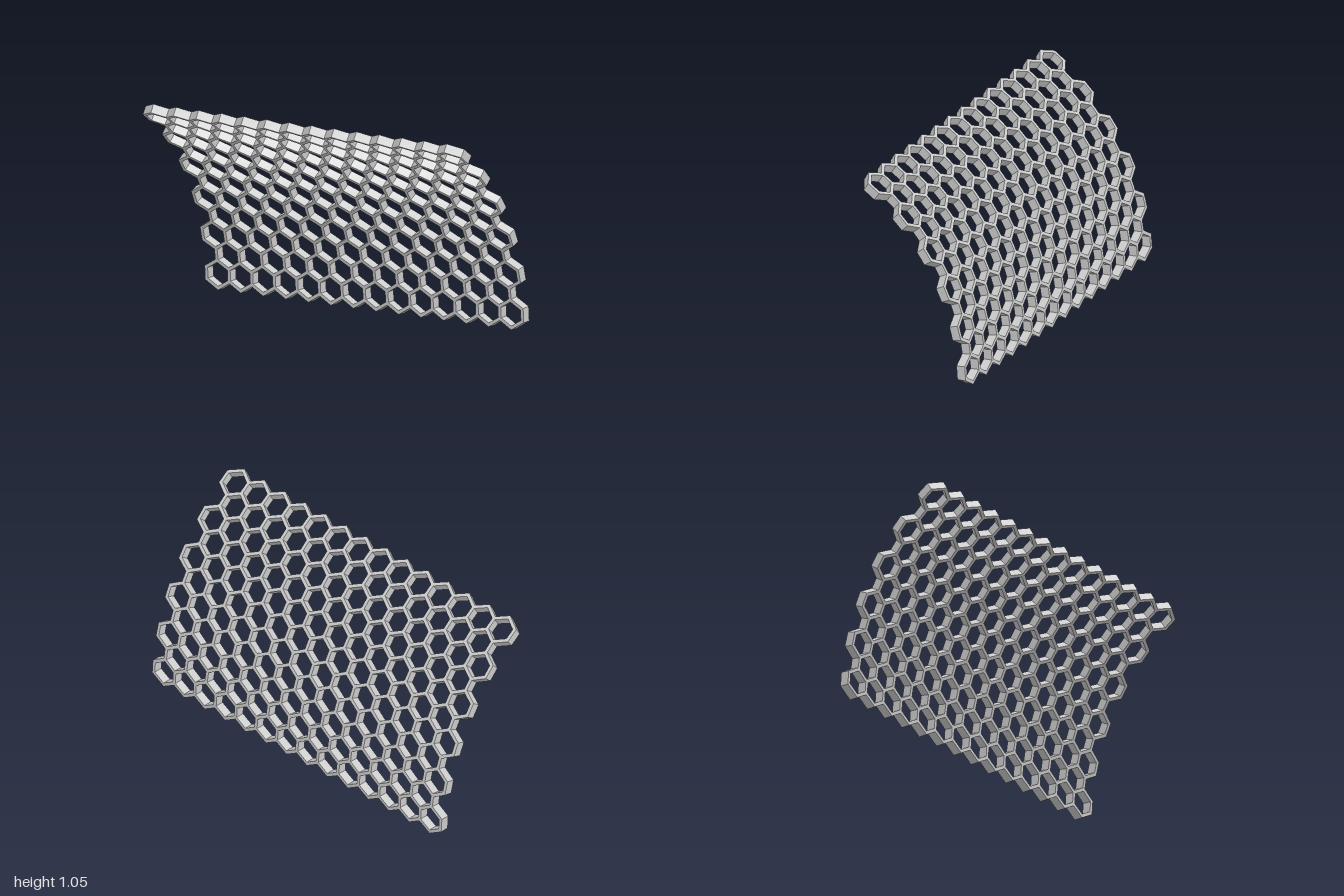
import * as THREE from 'three';

const ROWS = 11, COLS = 14;
const WALL = 0.009;                      // half the strut thickness
const W = (1 - WALL) / COLS;             // half cell width
const SIDE = 0.0655 / 2;                 // half length of the straight edge
const TIP = SIDE + 0.042;                // half cell height
const PITCH = SIDE + TIP;
const R_OUT = 1.21, R_IN = 1.162, ARC = Math.PI / 3;

// Corners of a cell, counter-clockwise, with its sides moved out by d
function hexagon(d) {
  const slope = Math.atan2(TIP - SIDE, W);
  const tip = TIP + d / Math.cos(slope);
  const side = SIDE + d * (1 / Math.cos(slope) - Math.tan(slope));
  const w = W + d;
  return [[0, tip], [-w, side], [-w, -side], [0, -tip], [w, -side], [w, side]];
}

const MIDDLE = hexagon(0), HOLE = hexagon(-WALL), RIM = hexagon(WALL);
const HEIGHT = (ROWS - 1) * PITCH + 2 * RIM[0][1];
const CENTRE_X = -(R_OUT + R_IN * Math.cos(ARC)) / 2;

// Wraps a flat panel point onto the arc
function bend([u, v], radius) {
  const angle = (v / HEIGHT) * ARC;
  return [CENTRE_X + radius * Math.cos(angle), radius * Math.sin(angle), -u];
}

const add = (a, b) => [a[0] + b[0], a[1] + b[1]];

function addQuad(out, a, b, c, d) {
  out.push(...a, ...b, ...c, ...a, ...c, ...d);
}

// Half a strut: from its middle line a-b to its exposed wall d-c
function addHalfStrut(out, a, b, c, d) {
  const [ao, bo, co, dO] = [a, b, c, d].map((p) => bend(p, R_OUT));
  const [ai, bi, ci, di] = [a, b, c, d].map((p) => bend(p, R_IN));
  addQuad(out, ao, bo, co, dO);
  addQuad(out, di, ci, bi, ai);
  addQuad(out, dO, co, ci, di);
}

// Odd rows are one cell shorter and shifted by half a cell
const cellsIn = (row) => COLS - (row % 2);
const cellCentre = (row, col) => [(2 * col - cellsIn(row) + 1) * W, RIM[0][1] + row * PITCH];

function hasNeighbour(row, col, edge) {
  const rowStep = [1, 0, -1, -1, 0, 1][edge];
  const r = row + rowStep;
  if (r < 0 || r >= ROWS) return false;
  const toLeft = edge < 3;
  let c;
  if (rowStep === 0) c = col + (toLeft ? -1 : 1);
  else if (row % 2) c = col + (toLeft ? 0 : 1);
  else c = col + (toLeft ? -1 : 0);
  return c >= 0 && c < cellsIn(r);
}

function addCell(out, row, col) {
  const centre = cellCentre(row, col);
  const open = MIDDLE.map((_, k) => !hasNeighbour(row, col, k));
  for (let k = 0; k < 6; k++) {
    const n = (k + 1) % 6;
    const a = add(centre, MIDDLE[k]), b = add(centre, MIDDLE[n]);
    addHalfStrut(out, a, b, add(centre, HOLE[n]), add(centre, HOLE[k]));
    if (!open[k]) continue;
    // Outer half of a border strut, mitred to the next border strut
    const beyond = add(centre, add(MIDDLE[k], MIDDLE[n]));
    const start = open[(k + 5) % 6] ? add(centre, RIM[k]) : add(beyond, HOLE[(k + 4) % 6]);
    const end = open[n] ? add(centre, RIM[n]) : add(beyond, HOLE[(k + 3) % 6]);
    addHalfStrut(out, b, a, start, end);
  }
}

export function createModel() {
  const model = new THREE.Group();
  model.name = 'curvedHoneycombPanel';
  const material = new THREE.MeshStandardMaterial({ color: 0xcccccc, flatShading: true });

  // One mesh per row of cells, bottom to top
  for (let row = 0; row < ROWS; row++) {
    const positions = [];
    for (let col = 0; col < cellsIn(row); col++) addCell(positions, row, col);
    const geometry = new THREE.BufferGeometry();
    geometry.setAttribute('position', new THREE.Float32BufferAttribute(positions, 3));
    geometry.computeVertexNormals();
    const mesh = new THREE.Mesh(geometry, material);
    mesh.name = `honeycombRow${row + 1}`;
    model.add(mesh);
  }
  return model;
}
